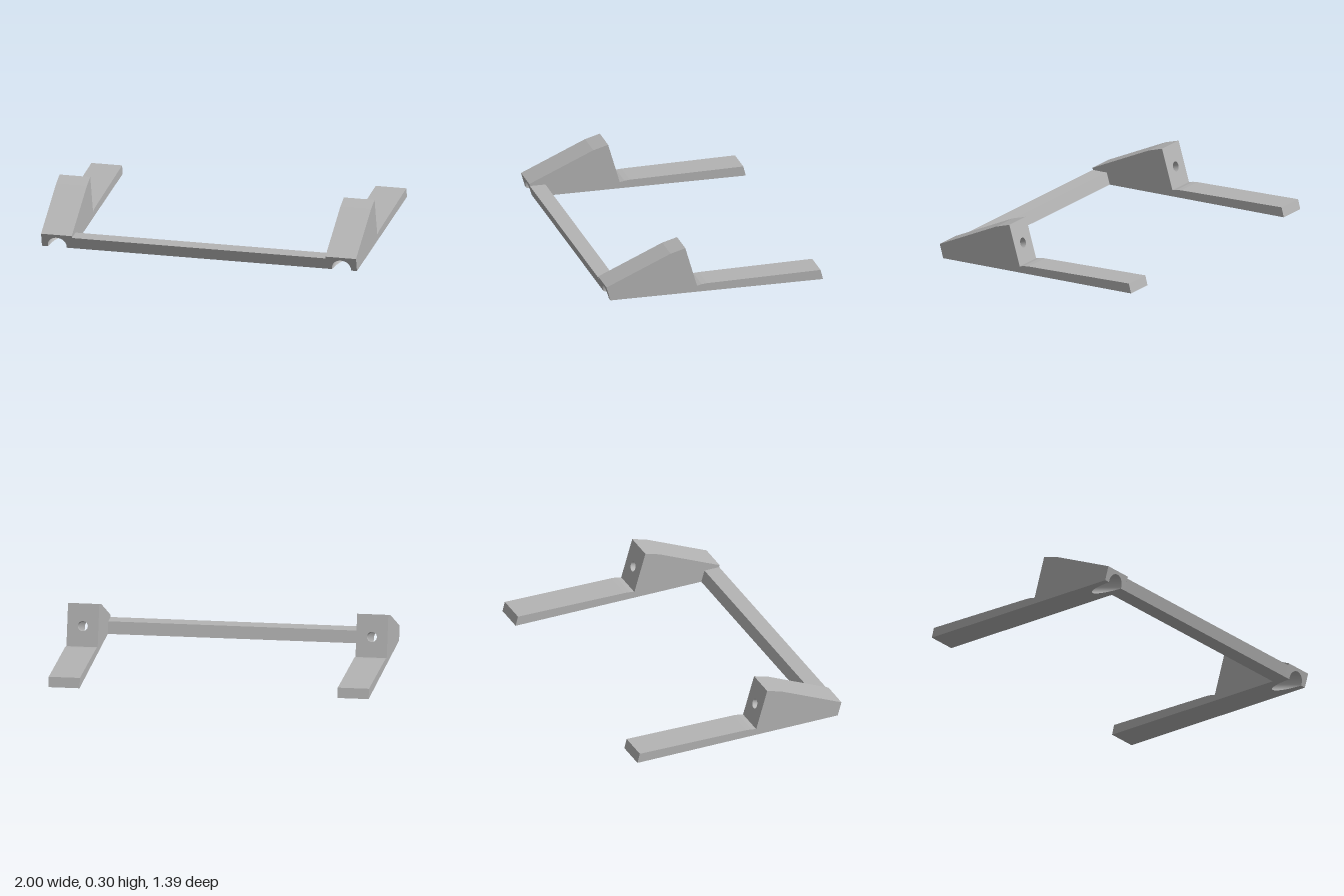
import * as THREE from 'three';
import { ParametricGeometry } from 'three/addons/geometries/ParametricGeometry.js';

const H = 0.0975;                 // half width of a foot
const NZ = 0.28, NY = 0.96;       // lean direction shared by the sloped ends (z, y)
const HEAD_R = 0.06, BORE_R = 0.031;
const V0 = 0.0104;                // height of the bore axis along the front face
const DEPTH = 0.544, HEAD_DEPTH = 0.49;

// Side profile [z, y], from front bottom, up, over and to the back
const PROFILE = [
  [0.67, 0], [0.6955, 0.088], [0.285, 0.27], [0.19, 0.297], [0.115, 0.04],
  [0.085, 0.047], [0.05, 0.05], [-0.677, 0.062], [-0.693, 0],
];

// Point on a cylinder around the tilted bore axis
const borePoint = (r, a, t, target = new THREE.Vector3()) => {
  const v = V0 + r * Math.sin(a);
  return target.set(r * Math.cos(a), NY * v + NZ * t, 0.67 + NZ * v - NY * t);
};
// Depth at which the bore wall rises above the underside
const startDepth = (r, a) => Math.max(0, -NY * (V0 + r * Math.sin(a)) / NZ);

// Flat face: a 2D shape placed in space by a rule
function flatFace(shape, place) {
  const geo = new THREE.ShapeGeometry(shape, 32);
  const p = geo.attributes.position;
  for (let i = 0; i < p.count; i++) p.setXYZ(i, ...place(p.getX(i), p.getY(i)));
  geo.computeVertexNormals();
  return geo;
}

function circlePath(r, x, y) {
  return new THREE.Path().absarc(x, y, r, 0, Math.PI * 2, true);
}

function buildFoot(material) {
  const foot = new THREE.Group();
  const add = (name, geo) => {
    const mesh = new THREE.Mesh(geo, material);
    mesh.name = name;
    foot.add(mesh);
  };

  // Side walls
  const right = new THREE.Shape(PROFILE.map(([z, y]) => new THREE.Vector2(z, y)));
  const left = new THREE.Shape(PROFILE.map(([z, y]) => new THREE.Vector2(-z, y)));
  add('rightSide', flatFace(right, (u, v) => [-H, v, u]));
  add('leftSide', flatFace(left, (u, v) => [H, v, -u]));

  // Faces that run around the profile
  const a0 = -Math.asin(V0 / HEAD_R);
  const names = ['frontFace', 'ramp', 'crest', 'backrest', 'fillet', 'lip', 'footTop', 'footEnd', 'underside'];
  names.forEach((name, i) => {
    const a = PROFILE[i], b = PROFILE[(i + 1) % PROFILE.length];
    const len = Math.hypot(b[0] - a[0], b[1] - a[1]);
    const pts = [[-H, 0]];
    const steps = 32;
    if (name === 'frontFace') {          // arched mouth of the bore
      for (let k = 0; k <= steps; k++) {
        const t = Math.PI - a0 + (2 * a0 - Math.PI) * k / steps;
        pts.push([HEAD_R * Math.cos(t), Math.max(0, V0 + HEAD_R * Math.sin(t))]);
      }
    }
    pts.push([H, 0], [H, len]);
    if (name === 'underside') {          // pointed notch where the bore breaks through
      for (let k = 0; k <= steps; k++) {
        const t = a0 - (Math.PI + 2 * a0) * k / steps;
        const q = borePoint(HEAD_R, t, startDepth(HEAD_R, t));
        pts.push([q.x, Math.min(len, q.z - a[0])]);
      }
    }
    pts.push([-H, len]);
    const shape = new THREE.Shape(pts.map(([x, y]) => new THREE.Vector2(x, y)));
    if (name === 'backrest') {
      const y = borePoint(0, 0, DEPTH).y;
      shape.holes.push(circlePath(BORE_R, 0, (a[1] - y) / NY));
    }
    add(name, flatFace(shape, (u, v) => [
      u, a[1] + (b[1] - a[1]) * v / len, a[0] + (b[0] - a[0]) * v / len,
    ]));
  });

  // Wide bore, step and narrow bore
  const wall = (r, from, to) => new ParametricGeometry((u, v, target) => {
    const a = u * Math.PI * 2;
    const s = Math.max(from, startDepth(r, a));
    borePoint(r, a, s + (to - s) * v, target);
  }, 64, 4);
  add('wideBore', wall(HEAD_R, 0, HEAD_DEPTH));
  add('narrowBore', wall(BORE_R, HEAD_DEPTH, DEPTH));
  const ring = new THREE.Shape().absarc(0, 0, HEAD_R, 0, Math.PI * 2, false);
  ring.holes.push(circlePath(BORE_R, 0, 0));
  const c = borePoint(0, 0, HEAD_DEPTH);
  add('boreStep', flatFace(ring, (u, v) => [u, c.y + NY * v, c.z + NZ * v]));
  return foot;
}

export function createModel() {
  const model = new THREE.Group();
  model.name = 'stand';
  const grey = new THREE.MeshStandardMaterial({ color: 0xb4b4b4 });
  grey.name = 'grey';

  // Two wedge feet
  for (const side of [1, -1]) {
    const foot = buildFoot(grey);
    foot.name = side > 0 ? 'leftFoot' : 'rightFoot';
    foot.position.x = side * 0.9025;
    model.add(foot);
  }

  // Leaning crossbar between the feet
  const section = new THREE.Shape([[-0.67, 0], [-0.57, 0], [-0.592, 0.075], [-0.692, 0.075]]
    .map(([x, y]) => new THREE.Vector2(x, y)));
  const barGeo = new THREE.ExtrudeGeometry(section, { depth: 1.61, bevelEnabled: false });
  barGeo.rotateY(Math.PI / 2).translate(-0.805, 0, 0);
  const bar = new THREE.Mesh(barGeo, grey);
  bar.name = 'crossbar';
  model.add(bar);
  return model;
}
